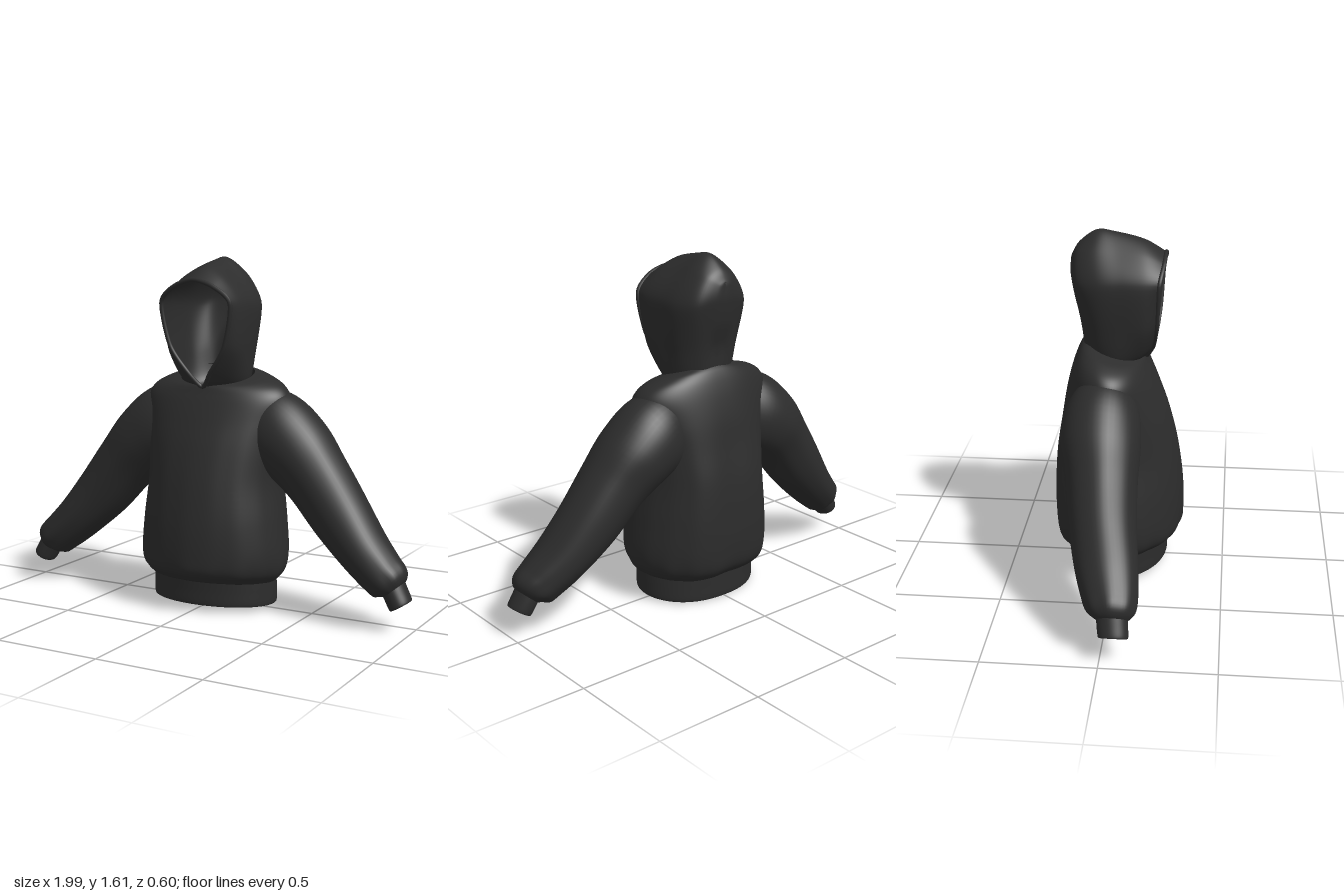
import * as THREE from 'three';

const cloth = new THREE.MeshStandardMaterial({ color: 0x2c2c2c, side: THREE.DoubleSide });
const TAU = Math.PI * 2;

// Smoothly interpolates rows of numbers, giving n + 1 rows
function blend(rows, n) {
  const at = (i) => rows[Math.max(0, Math.min(rows.length - 1, i))];
  return Array.from({ length: n + 1 }, (_, k) => {
    const s = (k / n) * (rows.length - 1);
    const i = Math.min(Math.floor(s), rows.length - 2), t = s - i;
    return rows[0].map((_, c) => {
      const [a, b, d, e] = [at(i - 1)[c], at(i)[c], at(i + 1)[c], at(i + 2)[c]];
      return b + 0.5 * t * (d - a + t * (2 * a - 5 * b + 4 * d - e + t * (3 * (b - d) + e - a)));
    });
  });
}

// Skins a list of closed rings of equal size
function skin(name, rings) {
  const n = rings[0].length, index = [];
  for (let r = 0; r < rings.length - 1; r++) {
    for (let i = 0; i < n; i++) {
      const a = r * n + i, b = r * n + ((i + 1) % n);
      index.push(a, a + n, b, b, a + n, b + n);
    }
  }
  const geo = new THREE.BufferGeometry().setFromPoints(rings.flat());
  geo.setIndex(index);
  geo.computeVertexNormals();
  const mesh = new THREE.Mesh(geo, cloth);
  mesh.name = name;
  return mesh;
}

const ring = (n, fn) => Array.from({ length: n }, (_, i) => fn((i / n) * TAU));

// Horizontal ring with a squarer back; tilt lowers the front, fold ripples the cloth
const levelRing = ([y, front, back, rx, tilt, fold]) => ring(96, (a) => {
  const s = Math.sin(a), c = Math.cos(a), zc = (front + back) / 2, rz = (front - back) / 2;
  const backFolds = s < 0 ? s * s * Math.cos(6 * (a - 0.75 * TAU)) * Math.min(0.035, 9 * fold) : 0;
  const ripple = 1 + fold * (Math.sin(9 * a + 1) + 0.6 * Math.sin(17 * a)) - backFolds;
  const x = s < 0 ? Math.sign(c) * Math.abs(c) ** 0.87 : c;
  return new THREE.Vector3(x * rx * ripple, y - tilt * s, zc + s * rz * ripple);
});

// Rings across a sleeve path: x, y, z, half height, half depth, fold
function sleeveRings(rows, n, side) {
  const path = blend(rows, n);
  return path.map(([x, y, z, h, w, fold], k) => {
    const p = path[Math.max(0, k - 1)], q = path[Math.min(n, k + 1)];
    const d = new THREE.Vector2(q[0] - p[0], q[1] - p[1]).normalize();
    return ring(48, (a) => {
      const m = 1 + fold * Math.sin(8 * a + 2 * k / n), c = Math.cos(a) * h * m;
      return new THREE.Vector3(side * (x - d.y * c), y + d.x * c, z - side * Math.sin(a) * w * m);
    });
  });
}

export function createModel() {
  const model = new THREE.Group();
  model.name = 'hoodie';

  // Torso: y, front z, back z, half width, tilt, fold
  const torso = [
    [0.13, 0.225, -0.21, 0.295, -0.015, 0],
    [0.145, 0.255, -0.24, 0.315, -0.015, 0.01],
    [0.19, 0.295, -0.28, 0.345, -0.01, 0.009],
    [0.27, 0.305, -0.295, 0.355, 0, 0.004],
    [0.42, 0.3, -0.298, 0.343, 0, 0.004],
    [0.6, 0.275, -0.288, 0.325, 0, 0.004],
    [0.76, 0.235, -0.262, 0.335, 0, 0.003],
    [0.88, 0.19, -0.24, 0.355, 0, 0.001],
    [0.97, 0.155, -0.215, 0.362, 0.01, 0],
    [1.025, 0.135, -0.192, 0.33, 0.025, 0],
    [1.06, 0.123, -0.17, 0.26, 0.035, 0],
    [1.077, 0.115, -0.15, 0.18, 0.04, 0],
  ];
  model.add(skin('torso', blend(torso, 66).map(levelRing)));

  // Ribbed hem band with a turned-in lining, lower at the back
  const hem = [
    [0.14, 0.21, -0.2, 0.28, -0.015, 0],
    [0.035, 0.215, -0.205, 0.285, -0.015, 0],
    [0.024, 0.225, -0.215, 0.295, -0.015, 0],
    [0.035, 0.231, -0.222, 0.302, -0.015, 0],
    [0.09, 0.232, -0.222, 0.302, -0.015, 0],
    [0.148, 0.235, -0.222, 0.3, -0.015, 0],
  ];
  model.add(skin('hemBand', blend(hem, 30).map(levelRing)));

  // Sleeves and cuffs
  const sleeve = [
    [0.13, 0.88, -0.045, 0.14, 0.1, 0],
    [0.265, 0.835, -0.05, 0.188, 0.165, 0],
    [0.39, 0.75, -0.048, 0.176, 0.177, 0.004],
    [0.505, 0.63, -0.033, 0.153, 0.158, 0.008],
    [0.63, 0.475, -0.015, 0.138, 0.147, 0.006],
    [0.75, 0.343, 0.012, 0.116, 0.137, 0.006],
    [0.845, 0.255, 0.035, 0.102, 0.12, 0.012],
    [0.895, 0.215, 0.045, 0.092, 0.102, 0.02],
    [0.918, 0.19, 0.052, 0.055, 0.068, 0.01],
  ];
  const cuff = [
    [0.9, 0.215, 0.05, 0.055, 0.066, 0],
    [0.925, 0.17, 0.055, 0.054, 0.066, 0],
    [0.947, 0.13, 0.06, 0.053, 0.064, 0],
    [0.951, 0.123, 0.06, 0.048, 0.058, 0],
  ];
  for (const side of [1, -1]) {
    const tag = side > 0 ? 'left' : 'right';
    model.add(skin(tag + 'Sleeve', sleeveRings(sleeve, 48, side)));
    model.add(skin(tag + 'Cuff', sleeveRings(cuff, 14, side)));
    // Lining inside the cuff
    const lining = cuff.slice(0, 3).map(([x, y, z, h, w]) => [x, y, z, h - 0.008, w - 0.008, 0]);
    model.add(skin(tag + 'CuffLining', sleeveRings(lining, 6, side)));
  }

  // Hood: half outlines from chin to crown, going from the face opening to the back
  const hood = [
    [0, 1.03, 0.125, 0.06, 1.1, 0.16, 0.14, 1.22, 0.178, 0.176, 1.41, 0.19, 0.1, 1.485, 0.205, 0, 1.515, 0.208],
    [0, 1.0, 0.07, 0.115, 1.055, 0.095, 0.182, 1.2, 0.12, 0.188, 1.41, 0.12, 0.105, 1.52, 0.12, 0, 1.573, 0.11],
    [0, 0.99, 0, 0.15, 1.03, 0, 0.184, 1.2, 0.02, 0.188, 1.41, 0.02, 0.105, 1.53, 0, 0, 1.605, -0.02],
    [0, 1.0, -0.08, 0.125, 1.03, -0.08, 0.165, 1.18, -0.08, 0.183, 1.4, -0.09, 0.1, 1.54, -0.1, 0, 1.612, -0.1],
    [0, 1.06, -0.145, 0.075, 1.07, -0.145, 0.115, 1.2, -0.145, 0.14, 1.4, -0.175, 0.08, 1.52, -0.175, 0, 1.56, -0.175],
    [0, 1.16, -0.157, 0.035, 1.2, -0.162, 0.055, 1.3, -0.19, 0.06, 1.42, -0.21, 0.035, 1.49, -0.21, 0, 1.51, -0.207],
    [0, 1.18, -0.16, 0, 1.22, -0.168, 0, 1.32, -0.2, 0, 1.42, -0.217, 0, 1.48, -0.214, 0, 1.5, -0.21],
  ];
  const outline = (row) => {
    const half = [0, 3, 6, 9, 12, 15].map((i) => new THREE.Vector3(row[i], row[i + 1], row[i + 2]));
    const other = half.slice(1, 5).reverse().map((p) => new THREE.Vector3(-p.x, p.y, p.z));
    return new THREE.CatmullRomCurve3([...half, ...other], true, 'catmullrom', 0.4);
  };
  model.add(skin('hood', blend(hood, 42).map((row) => ring(80, (a) => outline(row).getPoint(a / TAU)))));

  // Stitched rim around the face opening
  const rim = new THREE.Mesh(new THREE.TubeGeometry(outline(hood[0]), 120, 0.01, 8, true), cloth);
  rim.name = 'hoodRim';
  model.add(rim);

  return model;
}
